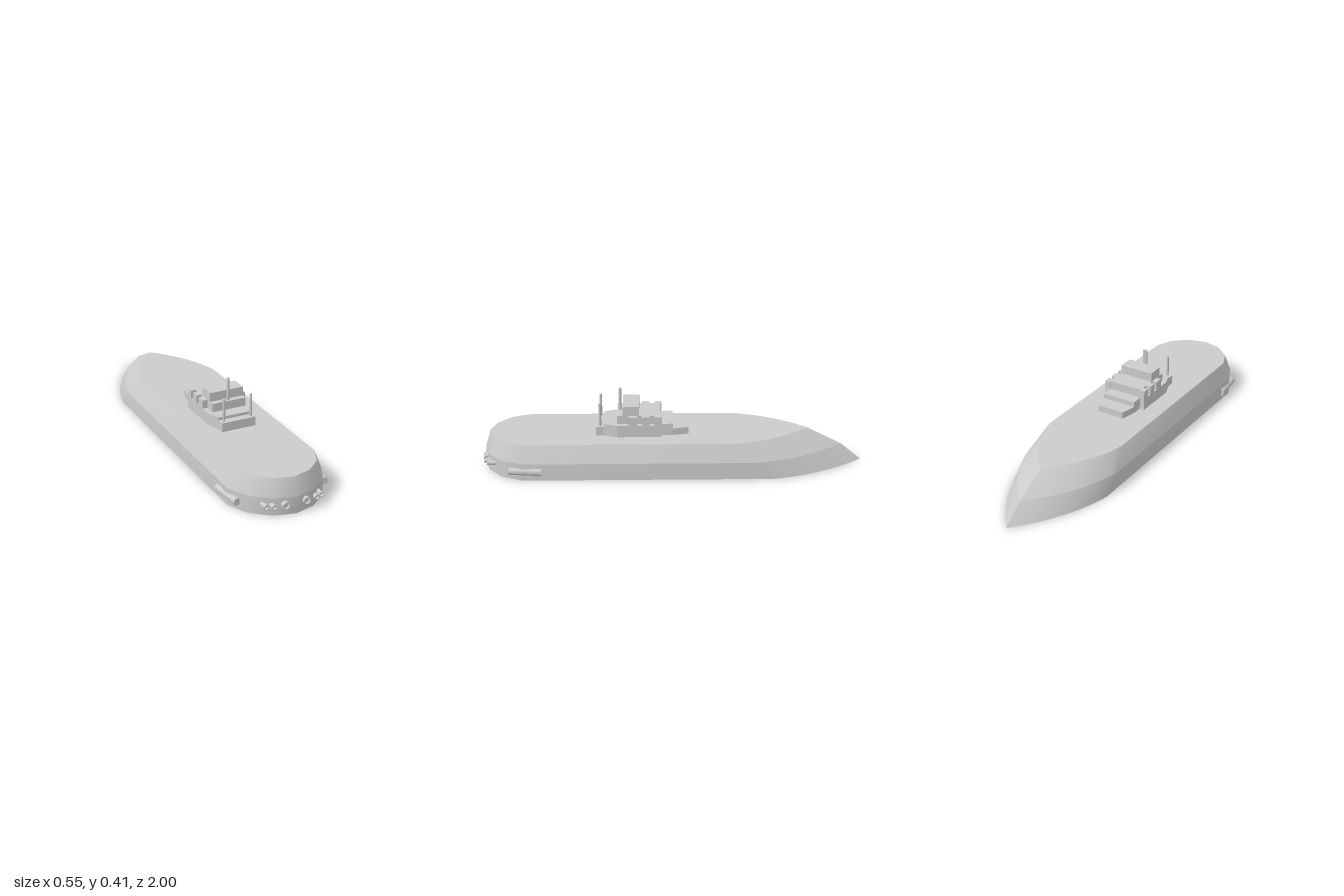
import * as THREE from 'three';
import { toCreasedNormals } from 'three/addons/utils/BufferGeometryUtils.js';

const material = new THREE.MeshStandardMaterial({ color: 0xcccccc });

function add(parent, name, geometry, x = 0, y = 0, z = 0) {
  const mesh = new THREE.Mesh(geometry, material);
  mesh.name = name;
  mesh.position.set(x, y, z);
  parent.add(mesh);
  return mesh;
}

// Closed hull outline: curved bow at -z, straight sides, faceted stern at +z
function outline(halfWidth, bowStart, bowTip, control, stern) {
  const bow = new THREE.QuadraticBezierCurve(
    new THREE.Vector2(0, bowTip), new THREE.Vector2(...control), new THREE.Vector2(halfWidth, bowStart));
  const half = [...bow.getPoints(12), ...stern.map(p => new THREE.Vector2(...p))];
  const mirrored = half.slice(1, -1).reverse().map(p => new THREE.Vector2(-p.x, p.y));
  return [...half, ...mirrored];
}

// Side wall joining two outlines
function band(low, high, y0, y1) {
  const n = low.length, positions = [], index = [];
  for (let i = 0; i < n; i++) {
    positions.push(low[i].x, y0, low[i].y, high[i].x, y1, high[i].y);
    const a = 2 * i, b = 2 * ((i + 1) % n);
    index.push(a, a + 1, b, b, a + 1, b + 1);
  }
  const g = new THREE.BufferGeometry();
  g.setAttribute('position', new THREE.Float32BufferAttribute(positions, 3));
  g.setIndex(index);
  return toCreasedNormals(g, 0.55);
}

// Flat horizontal face filling an outline
function cap(points, up) {
  const g = new THREE.ShapeGeometry(new THREE.Shape(points.map(p => new THREE.Vector2(p.x, up ? -p.y : p.y))));
  return g.rotateX(up ? -Math.PI / 2 : Math.PI / 2);
}

// Block with a plan outline given as right half [x, z] pairs, between two heights
function block(parent, name, half, y0, y1) {
  const pts = [...half, ...half.slice().reverse().map(([x, z]) => [-x, z])];
  const shape = new THREE.Shape(pts.map(([x, z]) => new THREE.Vector2(x, -z)));
  const g = new THREE.ExtrudeGeometry(shape, { depth: y1 - y0, bevelEnabled: false });
  return add(parent, name, g.rotateX(-Math.PI / 2), 0, y0, 0);
}

// Open-mouthed pipe pointing along +z, mouth at z = 0
function pipe(radius, length) {
  const inner = radius * 0.83;
  const profile = [[0, -length], [radius, -length], [radius, 0], [inner, 0], [inner, -0.012], [0, -0.012]]
    .map(p => new THREE.Vector2(...p));
  return toCreasedNormals(new THREE.LatheGeometry(profile, 20).rotateX(Math.PI / 2), 0.6);
}

export function createModel() {
  const ship = new THREE.Group();
  ship.name = 'ship';

  // Hull
  const hull = new THREE.Group();
  hull.name = 'hull';
  ship.add(hull);
  const outerStern = [[0.256, 0.78], [0.203, 0.89], [0.11, 0.965], [0, 0.993]];
  const deckStern = [[0.219, 0.77], [0.178, 0.868], [0.098, 0.938], [0, 0.964]];
  const keel = outline(0.256, -0.51, -1, [0.21, -0.76], outerStern);
  const knuckle = outline(0.256, -0.42, -0.89, [0.21, -0.67], outerStern);
  const deck = outline(0.219, -0.32, -0.71, [0.18, -0.53], deckStern);
  add(hull, 'lowerHull', band(keel, knuckle, 0, 0.09));
  add(hull, 'upperHull', band(knuckle, deck, 0.09, 0.182));
  add(hull, 'deck', cap(deck, true), 0, 0.182, 0);
  add(hull, 'bottom', cap(keel, false));

  // Superstructure, stepped from bow to stern
  const house = new THREE.Group();
  house.name = 'superstructure';
  ship.add(house);
  block(house, 'foreStep', [[0.075, -0.078], [0.094, 0.005]], 0.182, 0.218);
  block(house, 'secondStep', [[0.094, 0.005], [0.094, 0.07]], 0.182, 0.245);
  block(house, 'mainHouse', [[0.121, 0.062], [0.121, 0.292], [0.094, 0.365], [0.094, 0.365]].slice(0, 3), 0.182, 0.245);
  block(house, 'aftStep', [[0.094, 0.365], [0.094, 0.405]], 0.182, 0.23);
  block(house, 'upperHouse', [[0.094, 0.07], [0.094, 0.295]], 0.245, 0.29);
  block(house, 'bridge', [[0.093, 0.18], [0.093, 0.265]], 0.29, 0.338);

  // Bulwark tabs along both sides of the upper house
  for (const side of [-1, 1]) {
    for (const [z0, z1] of [[0.062, 0.1], [0.125, 0.165], [0.19, 0.235]]) {
      add(house, 'bulwarkTab', new THREE.BoxGeometry(0.028, 0.045, z1 - z0),
        side * 0.107, 0.2675, (z0 + z1) / 2);
    }
  }

  // Masts
  const mast = (name, x, z, y0, y1, r) =>
    add(house, name, new THREE.CylinderGeometry(r, r, y1 - y0, 16), x, (y0 + y1) / 2, z);
  mast('mainMast', 0, 0.28, 0.29, 0.411, 0.008);
  for (const side of [-1, 1]) mast('aftMast', side * 0.075, 0.384, 0.23, 0.351, 0.007);

  // Stern pipes and forward-facing side pipes
  for (const side of [-1, 1]) {
    for (const [x, z, r] of [[0.055, 0.998, 0.019], [0.114, 0.988, 0.0125], [0.148, 0.972, 0.0125]]) {
      add(ship, 'sternPipe', pipe(r, 0.07), side * x, 0.055, z);
    }
    const sidePipe = add(ship, 'sidePipe', pipe(0.019, 0.17), side * 0.256, 0.046, 0.68);
    sidePipe.rotation.y = Math.PI + side * 0.11 * -1;
  }
  return ship;
}
